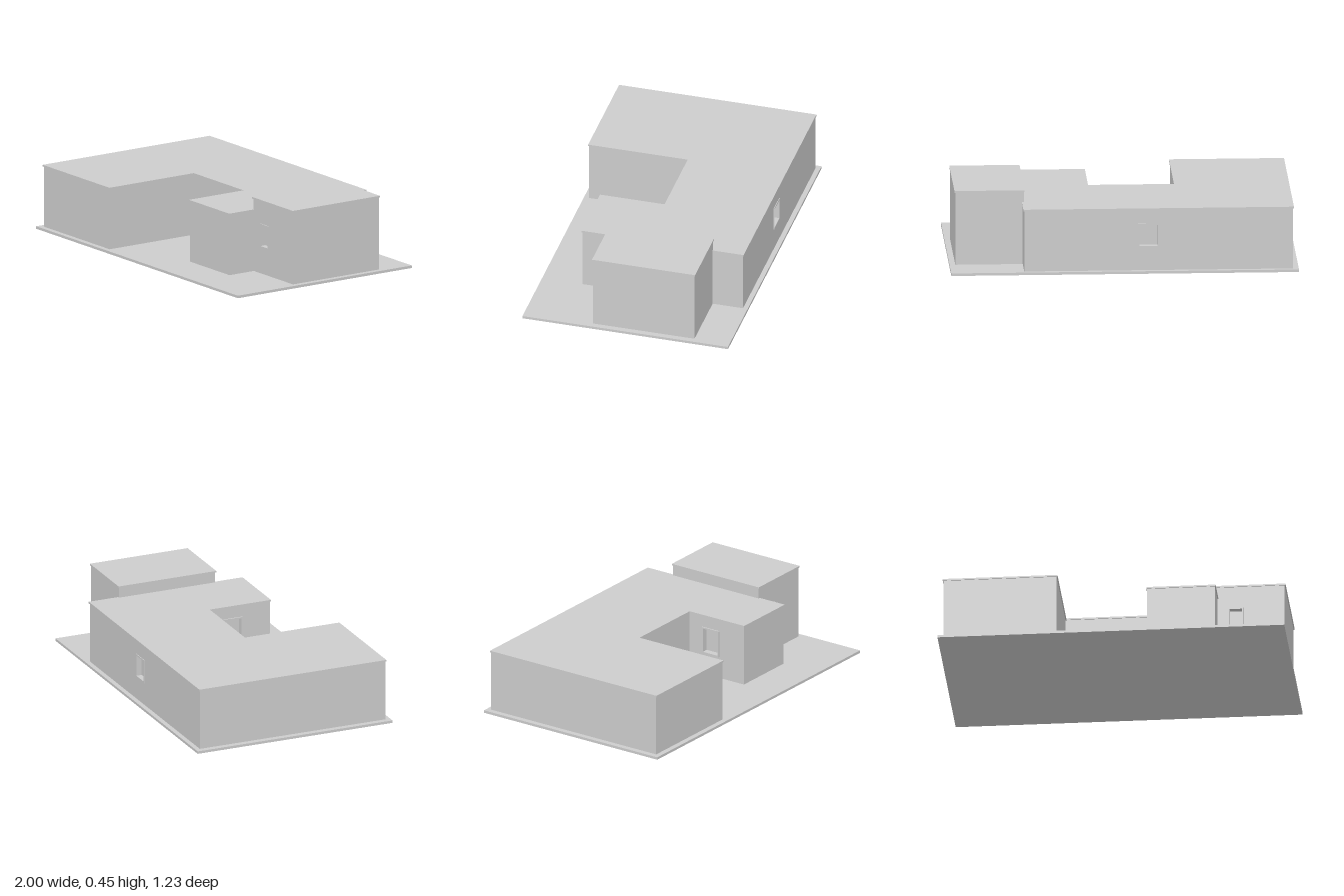
import * as THREE from 'three';

const GROUND = 0.015, ROOF = 0.01, LIP = 0.005, WALL = 0.03, RIM = 0.008;

export function createModel() {
  const model = new THREE.Group();
  const grey = new THREE.MeshStandardMaterial({ color: 0xcccccc });
  grey.name = 'pale grey';

  const add = (name, geometry, parent = model) => {
    const mesh = new THREE.Mesh(geometry, grey);
    mesh.name = name;
    parent.add(mesh);
    return mesh;
  };
  const box = (name, x0, x1, y0, y1, z0, z1) => add(name,
    new THREE.BoxGeometry(x1 - x0, y1 - y0, z1 - z0)
      .translate((x0 + x1) / 2, (y0 + y1) / 2, (z0 + z1) / 2));

  // Upright prism from an [x, z] floor plan
  const prism = (name, plan, y0, y1) => {
    const shape = new THREE.Shape(plan.map(([x, z]) => new THREE.Vector2(x, -z)));
    const g = new THREE.ExtrudeGeometry(shape, { depth: y1 - y0, bevelEnabled: false });
    return add(name, g.rotateX(-Math.PI / 2).translate(0, y0, 0));
  };

  const rectangle = (Type, x0, x1, y0, y1) => new Type([
    new THREE.Vector2(x0, y0), new THREE.Vector2(x1, y0),
    new THREE.Vector2(x1, y1), new THREE.Vector2(x0, y1)]);

  // Rectangular slab with a rectangular opening, facing +z with its back at z = 0
  const pierced = (outer, hole, depth) => {
    const shape = rectangle(THREE.Shape, ...outer);
    shape.holes.push(rectangle(THREE.Path, ...hole));
    return new THREE.ExtrudeGeometry(shape, { depth, bevelEnabled: false });
  };

  // Wall with a recessed window; u runs along the wall, to the right seen from outside
  const windowWall = (name, wall, win, out, position, turn) => {
    const group = new THREE.Group();
    group.name = name;
    const [a, b, c, d] = win;
    const hole = [a + RIM, b - RIM, c + RIM, d - RIM];
    add('wall', pierced(wall, hole, WALL), group);
    add('windowFrame', pierced(win, hole, out), group).position.z = WALL;
    group.position.set(...position);
    group.rotation.y = turn;
    model.add(group);
  };

  // Ground slab
  box('groundSlab', -1, 1, 0, GROUND, -0.613, 0.613);

  // Main house: plan wrapped around a front court
  const top = 0.381, under = top - ROOF;
  const back = -0.585, wing = 0.189;
  const plan = (o, backZ, wingX) => [
    [-0.967 - o, backZ - o], [-0.967 - o, 0.582 + o], [-0.315 + o, 0.582 + o],
    [-0.315 + o, -0.012 + o], [wingX - o, -0.012 + o], [wingX - o, 0.373 + o],
    [0.579 + o, 0.373 + o], [0.579 + o, backZ - o]];
  prism('houseCore', plan(0, back + WALL, wing + WALL), GROUND, under);
  prism('houseRoof', plan(LIP, back, wing), under, top);
  windowWall('backWall', [-0.579, 0.967, GROUND, under], [0.075, 0.195, 0.15, 0.29],
    0.004, [0, 0, back + WALL], Math.PI);
  windowWall('courtWall', [-0.012, 0.373, GROUND, under], [0.08, 0.2, 0.145, 0.305],
    0.008, [wing + WALL, 0, 0], -Math.PI / 2);

  // Taller side block
  const high = 0.452, x0 = 0.573, x1 = 0.967, z0 = -0.404, z1 = 0.201;
  box('towerCore', x0, x1, GROUND, high - ROOF, z0, z1 - WALL);
  box('towerRoof', x0 - LIP, x1 + LIP, high - ROOF, high, z0 - LIP, z1 + LIP);
  windowWall('towerFrontWall', [x0, x1, GROUND, high - ROOF], [0.642, 0.728, 0.17, 0.31],
    0.005, [0, 0, z1 - WALL], 0);

  return model;
}
